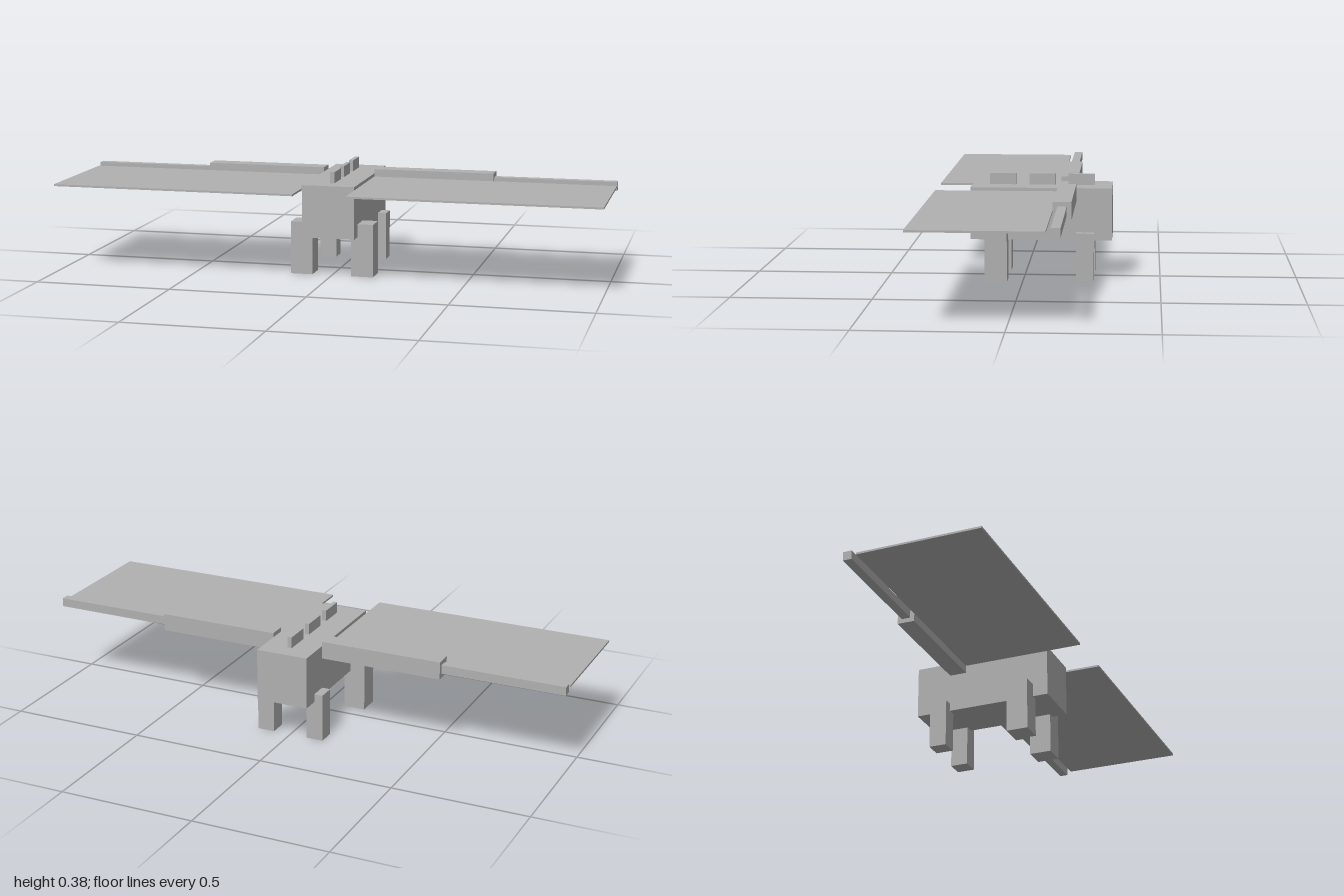
import * as THREE from 'three';

export function createModel() {
  const model = new THREE.Group();
  model.name = 'wingedCreature';
  const grey = new THREE.MeshStandardMaterial({ name: 'grey', color: 0xb0b0b0 });

  // Box given by its lower and upper limits on each axis
  function box(name, [x0, x1], [y0, y1], [z0, z1]) {
    const mesh = new THREE.Mesh(new THREE.BoxGeometry(x1 - x0, y1 - y0, z1 - z0), grey);
    mesh.position.set((x0 + x1) / 2, (y0 + y1) / 2, (z0 + z1) / 2);
    mesh.name = name;
    model.add(mesh);
  }

  // Box on the left (+x) and its mirror image on the right
  function pair(name, [x0, x1], y, z) {
    box(name + 'Left', [x0, x1], y, z);
    box(name + 'Right', [-x1, -x0], y, z);
  }

  // Torso and the row of back spines
  box('body', [-0.097, 0.097], [0.147, 0.339], [-0.323, 0.194]);
  for (const z of [0.0815, -0.0645, -0.2095]) {
    box('backSpine', [-0.008, 0.008], [0.339, 0.38], [z - 0.0485, z + 0.0485]);
  }

  // Legs
  pair('frontLeg', [0.073, 0.154], [0, 0.194], [0.057, 0.138]);
  pair('rearLeg', [0.065, 0.129], [0, 0.177], [-0.258, -0.193]);

  // Wings: thick inner bone, thin outer bone, flat membrane
  pair('wingInnerBone', [0.097, 0.548], [0.291, 0.355], [-0.193, -0.129]);
  pair('wingOuterBone', [0.548, 1], [0.307, 0.339], [-0.177, -0.145]);
  pair('wingMembrane', [0.097, 1], [0.32, 0.327], [-0.129, 0.323]);

  return model;
}
